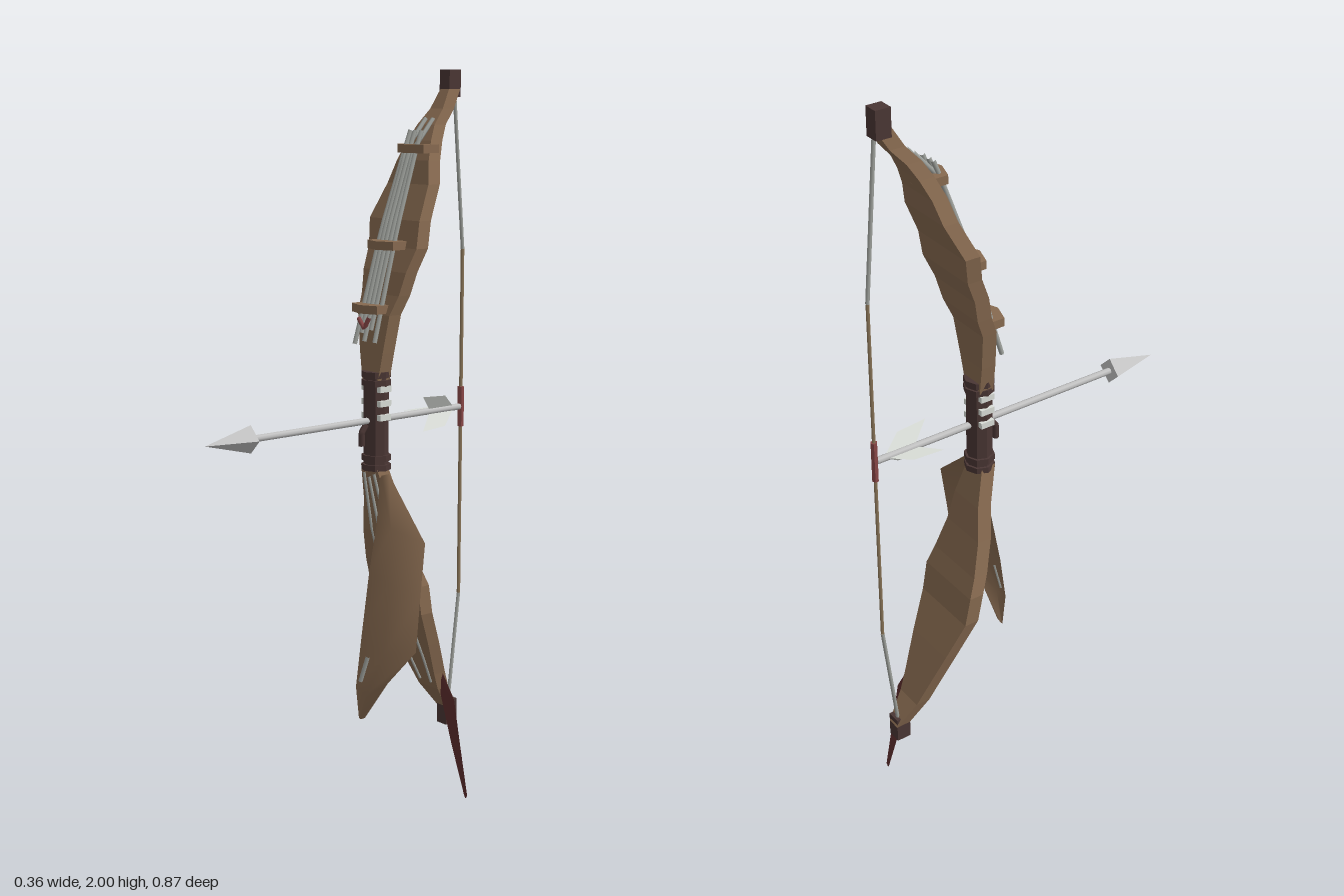
import * as THREE from 'three';

const mat = (name, color, side = THREE.FrontSide) => {
  const m = new THREE.MeshStandardMaterial({ color, side });
  m.name = name;
  return m;
};
const V = (x, y, z) => new THREE.Vector3(x, y, z);
const CX = -0.078; // centre line of the bow

export function createModel() {
  const group = new THREE.Group();
  const wood = mat('wood', 0x876a50);
  const leafBrown = mat('leaf brown', 0x876a50, THREE.DoubleSide);
  const dark = mat('dark leather', 0x4a3634);
  const metal = mat('pale metal', 0xc2c2c2);
  const vane = mat('vane grey', 0xd8dcd6, THREE.DoubleSide);
  const cord = mat('cord grey', 0xa0a39e);
  const string = mat('bowstring brown', 0x8a7558);
  const red = mat('dull red', 0x874646);
  const feather = mat('feather red', 0x5e2e2e, THREE.DoubleSide);

  const add = (name, geo, m, x = 0, y = 0, z = 0) => {
    const mesh = new THREE.Mesh(geo, m);
    mesh.name = name;
    mesh.position.set(x, y, z);
    group.add(mesh);
    return mesh;
  };
  const flat = (geo) => {
    const g = geo.index ? geo.toNonIndexed() : geo;
    g.computeVertexNormals();
    return g;
  };
  const tube = (name, pts, r, m, sides = 6) => {
    const path = new THREE.CurvePath();
    for (let i = 1; i < pts.length; i++) path.add(new THREE.LineCurve3(pts[i - 1], pts[i]));
    return add(name, new THREE.TubeGeometry(path, (pts.length - 1) * 4, r, sides), m);
  };
  const indexed = (pos, idx) => {
    const g = new THREE.BufferGeometry();
    g.setAttribute('position', new THREE.Float32BufferAttribute(pos, 3));
    g.setIndex(idx);
    return g;
  };

  // Limbs: rectangular sections [y, left x, right x, z], from low to high
  const limb = (name, rows) => {
    const pos = [], idx = [], t = 0.02;
    rows.forEach(([y, l, r, z]) => pos.push(r, y, z + t, r, y, z - t, l, y, z - t, l, y, z + t));
    for (let i = 0; i < rows.length - 1; i++) {
      for (let j = 0; j < 4; j++) {
        const a = i * 4 + j, b = i * 4 + (j + 1) % 4;
        idx.push(a, b, b + 4, a, b + 4, a + 4);
      }
    }
    const e = (rows.length - 1) * 4;
    idx.push(0, 2, 1, 0, 3, 2, e, e + 1, e + 2, e, e + 2, e + 3);
    add(name, flat(indexed(pos, idx)), wood);
  };
  limb('upperLimb', [
    [1.2, -0.11, -0.05, -0.12], [1.28, -0.125, -0.035, -0.124], [1.38, -0.142, -0.018, -0.132],
    [1.43, -0.15, -0.005, -0.152], [1.49, -0.158, 0.008, -0.165], [1.55, -0.166, 0.02, -0.19],
    [1.62, -0.18, 0.014, -0.205], [1.71, -0.158, 0, -0.248], [1.77, -0.14, -0.018, -0.265],
    [1.82, -0.125, -0.035, -0.288], [1.86, -0.114, -0.048, -0.312], [1.9, -0.104, -0.056, -0.348],
    [1.95, -0.098, -0.065, -0.378],
  ]);
  limb('lowerLimb', [
    [0.25, -0.096, -0.06, -0.385], [0.32, -0.118, -0.04, -0.335], [0.37, -0.13, -0.03, -0.312],
    [0.47, -0.155, -0.005, -0.266], [0.57, -0.178, 0.018, -0.218], [0.65, -0.18, 0.02, -0.203],
    [0.7, -0.168, 0.01, -0.182], [0.79, -0.148, -0.01, -0.155], [0.88, -0.13, -0.028, -0.142],
    [0.98, -0.11, -0.05, -0.115],
  ]);

  // Dark end caps
  for (const [x, y] of [[-0.074, 0.235], [-0.086, 1.965]]) {
    add('limbTip', new THREE.BoxGeometry(0.038, 0.07, 0.04), dark, x, y, -0.382);
  }

  // Grip with collars and metal bands
  add('grip', flat(new THREE.CylinderGeometry(0.033, 0.033, 0.26, 8)), dark, CX, 1.1, -0.12);
  for (const y of [0.975, 1.0, 1.2, 1.222]) {
    add('gripCollar', flat(new THREE.CylinderGeometry(0.039, 0.039, 0.016, 8)), dark, CX, y, -0.12);
  }
  for (const y of [1.11, 1.147, 1.185]) add('gripBand', new THREE.BoxGeometry(0.076, 0.016, 0.038), vane, CX, y, -0.12);
  tube('gripKnot', [V(CX, 1.09, -0.085), V(CX, 1.07, -0.07), V(CX, 1.035, -0.07)], 0.009, dark);

  // Hexagonal rod brackets
  const hex = new THREE.Shape([[-0.05, -0.025], [0, -0.042], [0.05, -0.025], [0.05, 0.03], [0, 0.042], [-0.05, 0.03]]
    .map((p) => new THREE.Vector2(...p)));
  for (const [x, y, z] of [[-0.07, 1.8, -0.253], [-0.072, 1.557, -0.152], [-0.083, 1.395, -0.108]]) {
    const g = new THREE.ExtrudeGeometry(hex, { depth: 0.022, bevelEnabled: false }).rotateX(-Math.PI / 2);
    add('bracket', g, wood, x, y - 0.011, z);
  }

  // Rods held by the brackets, two of them reaching on along the limb: [bottom x, top x, bottom y, long]
  const rods = [[-0.118, -0.098, 1.3, 0], [-0.1, -0.092, 1.33, 1], [-0.083, -0.08, 1.31, 0],
    [-0.066, -0.064, 1.34, 1], [-0.042, -0.055, 1.31, 0]];
  for (const [x0, x1, y0, long] of rods) {
    const pts = [V(x0, y0, -0.08 - (y0 - 1.3) * 0.28), V((x0 + x1) / 2, 1.6, -0.165), V(x1, 1.8, -0.235)];
    pts.push(long ? V(x1, 1.875, -0.302) : V(x1, 1.845, -0.253));
    tube('rod', pts, 0.006, cord);
  }
  tube('redTie', [V(-0.1, 1.37, -0.078), V(-0.075, 1.345, -0.076), V(-0.06, 1.375, -0.08)], 0.006, red);

  // Cords laid along the lower limb
  for (const s of [-1, 1]) {
    tube('limbCord', [
      V(CX + s * 0.02, 0.96, -0.095), V(CX + s * 0.032, 0.8, -0.132), V(CX + s * 0.04, 0.66, -0.178),
      V(CX + s * 0.038, 0.57, -0.196), V(CX + s * 0.03, 0.42, -0.267), V(CX + s * 0.022, 0.34, -0.304),
    ], 0.004, cord, 5);
  }

  // Hanging beads
  tube('beadCord', [V(CX, 0.95, -0.095), V(CX + 0.015, 0.8, -0.12), V(CX - 0.01, 0.68, -0.128)], 0.004, cord, 5);
  for (const [y, x] of [[0.74, 0.003], [0.68, -0.01]]) {
    add('bead', new THREE.SphereGeometry(0.011, 8, 6), cord, CX + x, y, -0.126);
  }

  // Bowstring and its red serving
  tube('bowstring', [V(CX, 1.53, -0.426), V(CX, 0.57, -0.426)], 0.005, string);
  tube('upperStringEnd', [V(CX, 1.53, -0.426), V(CX, 1.94, -0.39)], 0.005, cord);
  tube('lowerStringEnd', [V(CX, 0.57, -0.426), V(CX, 0.26, -0.39)], 0.005, cord);
  add('stringServing', flat(new THREE.CylinderGeometry(0.009, 0.009, 0.11, 6)), red, CX, 1.1, -0.426);

  // Arrow
  add('arrowShaft', new THREE.CylinderGeometry(0.009, 0.009, 0.73, 8).rotateX(Math.PI / 2), metal, CX, 1.1, -0.055);
  add('arrowHead', flat(new THREE.ConeGeometry(0.036, 0.14, 4).rotateX(Math.PI / 2)), metal, CX, 1.1, 0.362);
  // Three swept vanes around the tail
  const fletch = new THREE.Shape([[0.4, 0], [0.345, 0.048], [0.262, 0.054], [0.312, 0]]
    .map((p) => new THREE.Vector2(...p)));
  for (let i = 0; i < 3; i++) {
    const turn = Math.PI / 2 + i * Math.PI * 2 / 3;
    add('arrowVane', new THREE.ShapeGeometry(fletch).rotateY(Math.PI / 2).rotateZ(turn), vane, CX, 1.1, 0);
  }

  // Curved sheets made from rows of equal length
  const sheet = (name, rows, m) => {
    const n = rows[0].length, idx = [];
    for (let i = 0; i < rows.length - 1; i++) {
      for (let j = 0; j < n - 1; j++) {
        const a = i * n + j;
        idx.push(a, a + n, a + 1, a + 1, a + n, a + n + 1);
      }
    }
    const g = indexed(rows.flat(2), idx);
    g.computeVertexNormals();
    add(name, g, m);
  };
  // Large curled leaf hanging beside the lower limb
  sheet('leaf', [
    [[-0.04, 0.95, -0.1], [-0.03, 0.96, -0.098], [-0.015, 0.965, -0.11]],
    [[-0.015, 0.84, -0.068], [0.06, 0.84, -0.052], [0.155, 0.815, -0.084]],
    [[0.005, 0.72, -0.025], [0.1, 0.71, -0.008], [0.167, 0.68, -0.058]],
    [[0.02, 0.55, 0.015], [0.115, 0.53, 0.018], [0.178, 0.54, -0.034]],
    [[0.016, 0.42, 0.03], [0.06, 0.41, 0.032], [0.115, 0.45, 0.005]],
    [[0.014, 0.33, 0.018], [0.02, 0.328, 0.018], [0.035, 0.335, 0.016]],
  ], leafBrown);
  tube('leafStitch', [V(0.035, 0.44, 0.03), V(0.055, 0.51, 0.022)], 0.006, cord);

  // Long feather at the lower tip
  sheet('feather', [
    [[-0.06, 0.37, -0.315], [-0.045, 0.372, -0.318], [-0.03, 0.365, -0.325]],
    [[-0.045, 0.31, -0.328], [-0.02, 0.315, -0.328], [0.002, 0.295, -0.338]],
    [[-0.018, 0.16, -0.348], [0, 0.16, -0.345], [0.014, 0.16, -0.352]],
    [[0.013, 0.01, -0.37], [0.019, 0, -0.37], [0.026, 0.01, -0.37]],
  ], feather);

  return group;
}
